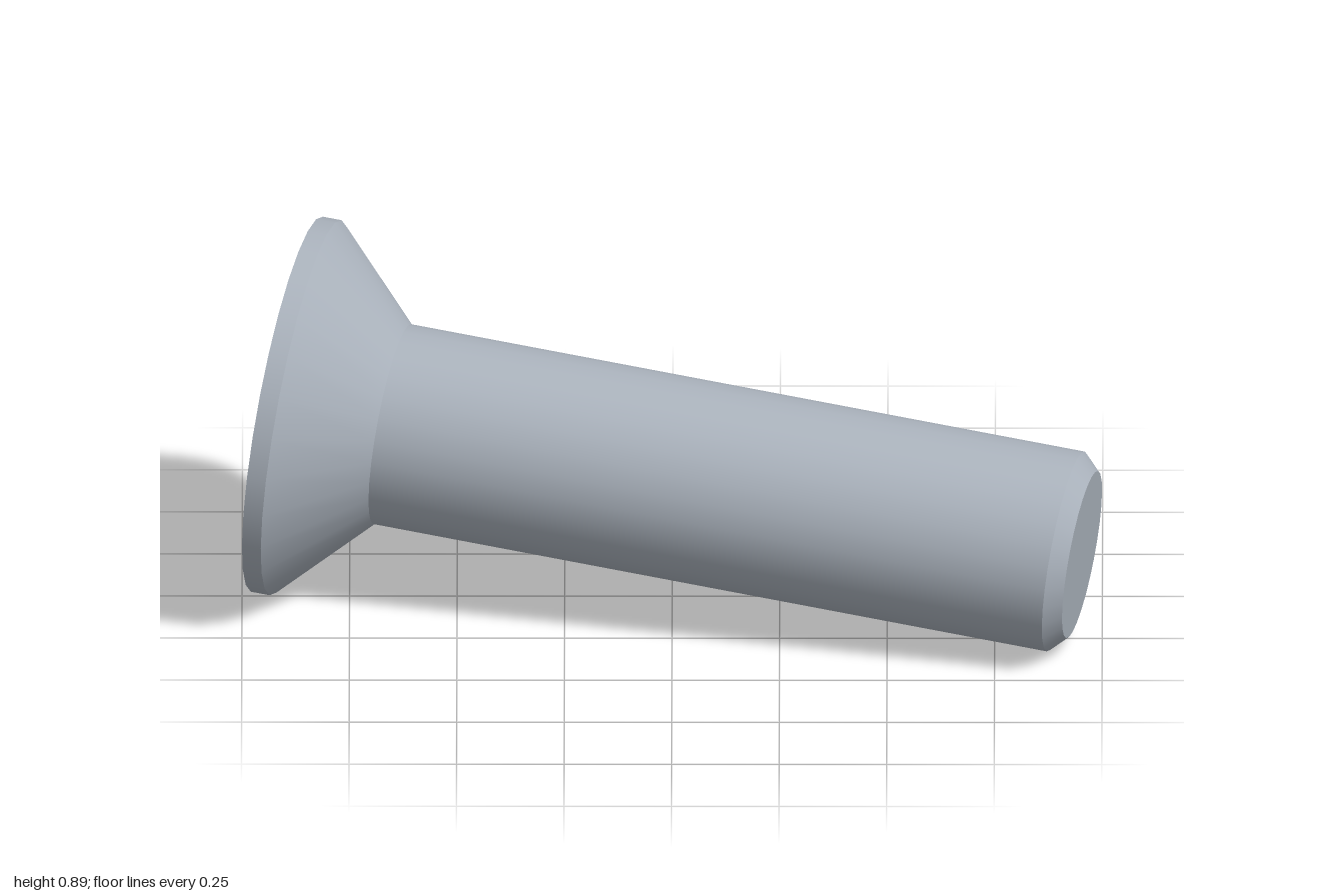
import * as THREE from 'three';

const SEG = 28;

export function createModel() {
  const model = new THREE.Group();
  model.name = 'countersunkScrew';
  const steel = new THREE.MeshStandardMaterial({ color: 0xaab2bc });
  steel.name = 'blue grey steel';

  // Local frame: origin at the centre of the head face, +z out of the head.
  const screw = new THREE.Group();
  screw.name = 'screw';
  model.add(screw);
  const add = (name, geometry) => {
    const mesh = new THREE.Mesh(geometry, steel);
    mesh.name = name;
    screw.add(mesh);
    return mesh;
  };

  // Turned body: each band runs from radius r0 at depth d0 to r1 at d1.
  const bands = [
    ['headRim', 0.444, 0, 0.444, 0.045],
    ['headCone', 0.444, 0.045, 0.2365, 0.2525],
    ['shank', 0.2365, 0.2525, 0.2365, 1.863],
    ['tipChamfer', 0.2365, 1.863, 0.198, 1.902],
  ];
  for (const [name, r0, d0, r1, d1] of bands) {
    const g = new THREE.CylinderGeometry(r0, r1, d1 - d0, SEG, 1, true);
    g.rotateX(Math.PI / 2);
    g.translate(0, 0, -(d0 + d1) / 2);
    add(name, g);
  }
  const tip = new THREE.CircleGeometry(0.198, SEG);
  tip.rotateX(Math.PI);
  tip.rotateZ(Math.PI / 2);
  tip.translate(0, 0, -1.902);
  add('tipFace', tip);

  // Outlines, counter-clockwise: a cross and a diagonal slit.
  const turn = (points, angle) =>
    points.map((p) => p.clone().rotateAround(new THREE.Vector2(), angle));
  const cross = (length, w) => {
    const arm = [[w, -w], [length, -w], [length, w]].map((p) => new THREE.Vector2(...p));
    return [0, 1, 2, 3].flatMap((i) => turn(arm, (i * Math.PI) / 2));
  };
  const slit = (r0, r1, w, i) =>
    turn(
      [[r0, -w], [r1, -w], [r1, w], [r0, w]].map((p) => new THREE.Vector2(...p)),
      Math.PI / 4 + (i * Math.PI) / 2
    );

  // Head face with its recess openings
  const face = new THREE.Shape();
  for (let i = 0; i < SEG; i++) {
    const a = (i / SEG) * Math.PI * 2;
    const x = 0.444 * Math.sin(a), y = -0.444 * Math.cos(a);
    if (i) face.lineTo(x, y);
    else face.moveTo(x, y);
  }

  // Sunken pocket: tapering walls and a flat floor
  const pocket = (name, top, bottom, depth) => {
    face.holes.push(new THREE.Path(top));
    const pos = [];
    top.forEach((a, i) => {
      const j = (i + 1) % top.length;
      const A = [a.x, a.y, 0], B = [top[j].x, top[j].y, 0];
      const C = [bottom[j].x, bottom[j].y, -depth], D = [bottom[i].x, bottom[i].y, -depth];
      pos.push(...A, ...B, ...C, ...A, ...C, ...D);
    });
    const walls = new THREE.BufferGeometry();
    walls.setAttribute('position', new THREE.Float32BufferAttribute(pos, 3));
    walls.computeVertexNormals();
    add(name + 'Walls', walls);
    const floor = new THREE.ShapeGeometry(new THREE.Shape(bottom));
    floor.translate(0, 0, -depth);
    add(name + 'Floor', floor);
  };

  pocket('driveRecess', cross(0.218, 0.08), cross(0.11, 0.07), 0.27);
  for (let i = 0; i < 4; i++) {
    pocket('markSlit' + (i + 1), slit(0.13, 0.24, 0.011, i), slit(0.13, 0.2, 0.008, i), 0.1);
  }
  add('headFace', new THREE.ShapeGeometry(face));

  // Lean the screw so head rim and tip both rest on the ground
  const out = new THREE.Vector3(-1, 0.115, -0.2115).normalize();
  const side = new THREE.Vector3(0, 1, 0).cross(out).normalize();
  const up = out.clone().cross(side);
  screw.quaternion.setFromRotationMatrix(new THREE.Matrix4().makeBasis(side, up, out));
  screw.position.set(-0.896, 0.446, -0.09);
  return model;
}
